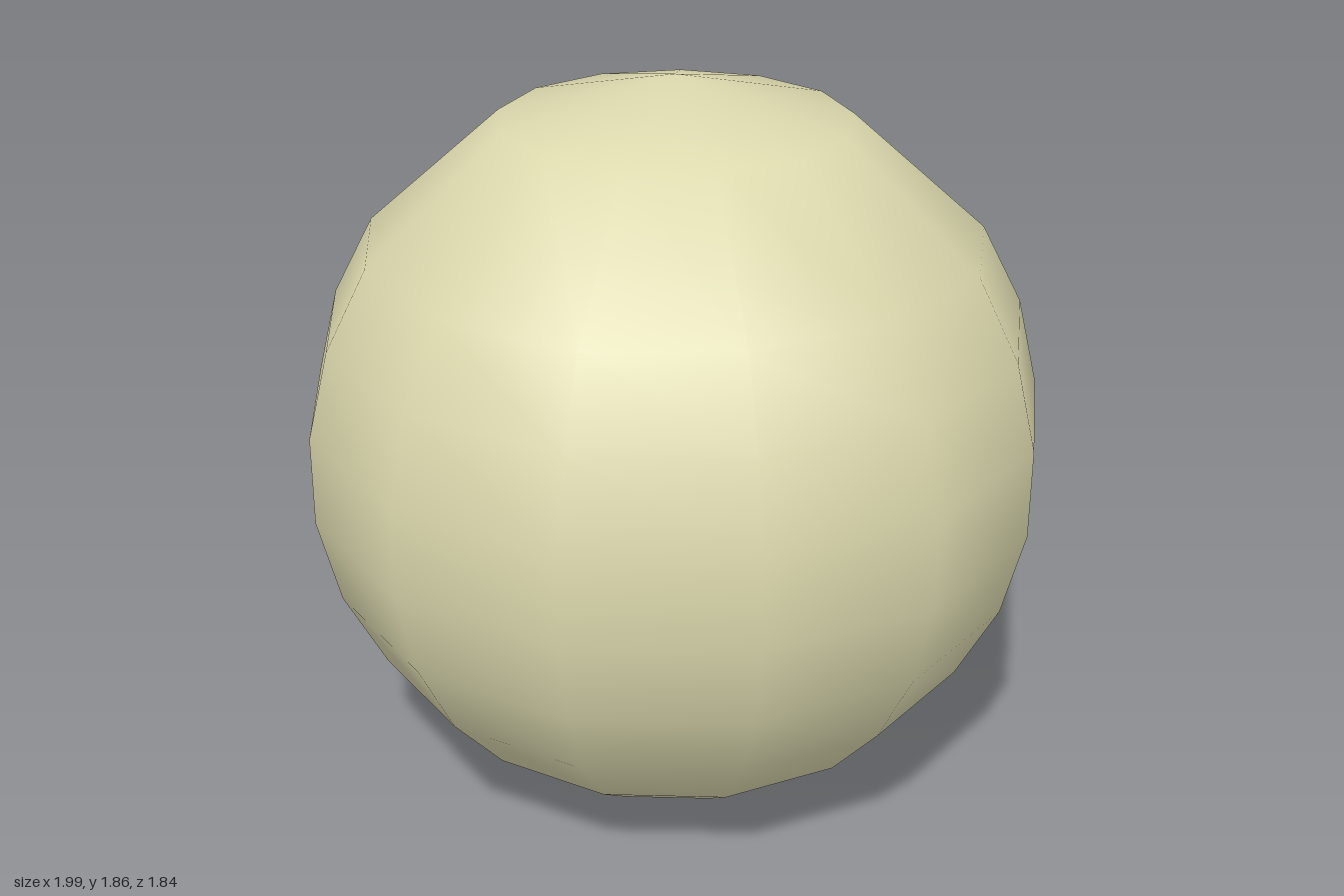
import * as THREE from 'three';

const R = 0.932, CX = 0.068, CY = 0.937, SIDES = 13;

const cream = new THREE.MeshStandardMaterial({ color: 0xdcd9ae });
const pink = new THREE.MeshStandardMaterial({ color: 0xda9195 });
const dark = new THREE.MeshStandardMaterial({ color: 0x68686a });

// Coarse round body: rings next to the poles and under the crown are left out
function bodyGeometry() {
  const rings = [13, 11, 10, 9, 8, 7, 6, 5, 4, 2, 0];
  const profile = rings.map((i) => {
    const a = (i * Math.PI) / SIDES;
    return new THREE.Vector2(Math.max(0, R * Math.sin(a)), R * Math.cos(a));
  });
  const geo = new THREE.LatheGeometry(profile, SIDES, Math.PI / 2);
  // round shading over the coarse faces
  const pos = geo.attributes.position, v = new THREE.Vector3();
  for (let i = 0; i < pos.count; i++) {
    v.fromBufferAttribute(pos, i).normalize();
    geo.attributes.normal.setXYZ(i, v.x, v.y, v.z);
  }
  return geo;
}

function ellipsoid(name, material, centre, radii) {
  const mesh = new THREE.Mesh(new THREE.SphereGeometry(1, 32, 24), material);
  mesh.name = name;
  mesh.position.set(...centre);
  mesh.scale.set(...radii);
  return mesh;
}

export function createModel() {
  const model = new THREE.Group();
  model.name = 'roundCreature';

  const body = new THREE.Mesh(bodyGeometry(), cream);
  body.name = 'body';
  body.position.set(CX, CY, 0);
  model.add(body);

  // The face looks along -x
  model.add(ellipsoid('nose', pink, [-0.855, 1.18, 0], [0.115, 0.115, 0.113]));

  for (const [side, s] of [['Front', 1], ['Rear', -1]]) {
    // Muzzle cheeks splay outward at the bottom
    const cheek = ellipsoid('cheek' + side, cream, [-0.816, 1.045, s * 0.15], [0.18, 0.19, 0.155]);
    cheek.rotation.x = -s * 0.25;
    model.add(cheek);

    model.add(ellipsoid('eye' + side, dark, [-0.725, 1.372, s * 0.175], [0.06, 0.06, 0.06]));
  }
  return model;
}
